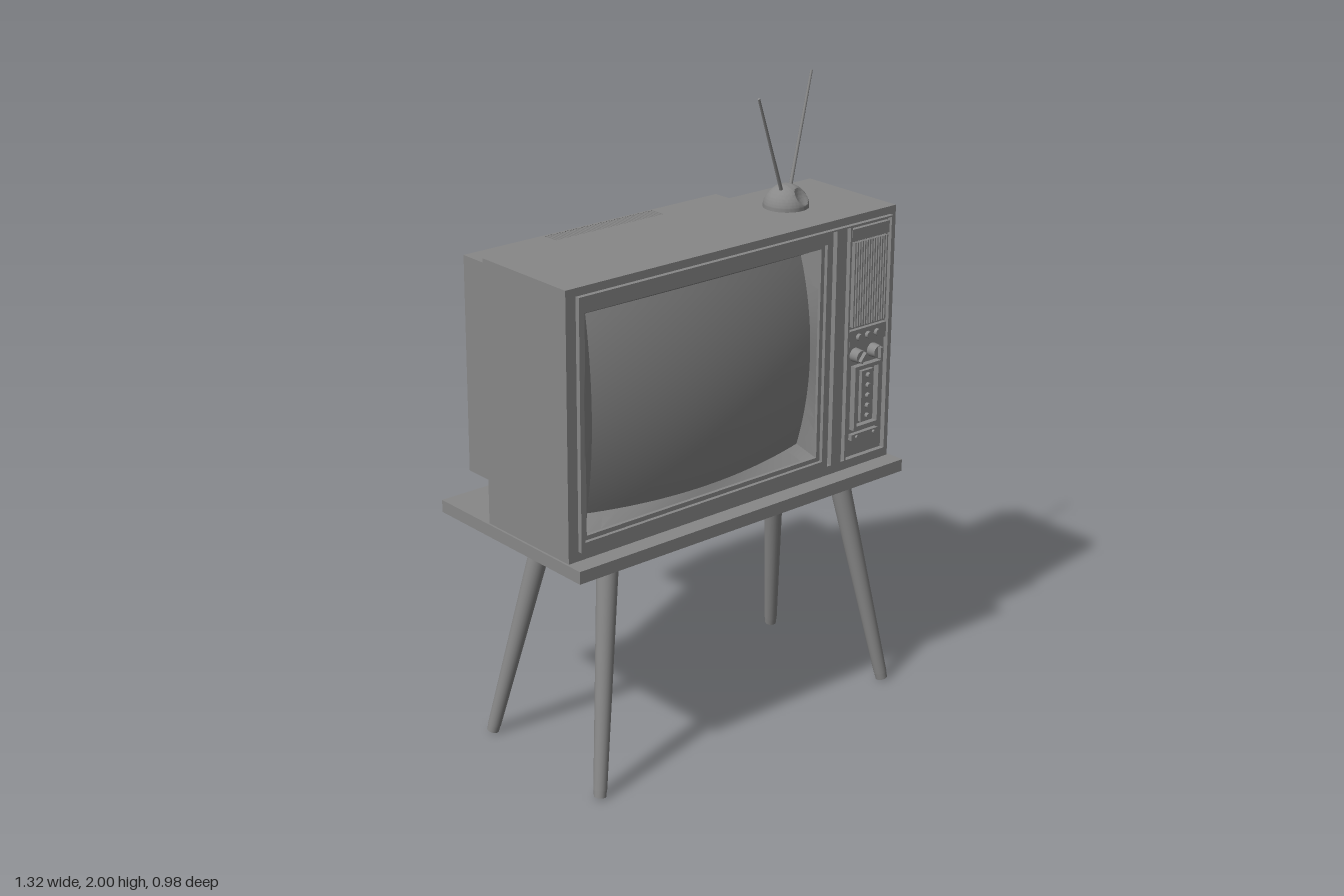
import * as THREE from 'three';
import { toCreasedNormals } from 'three/addons/utils/BufferGeometryUtils.js';

const grey = new THREE.MeshStandardMaterial({ color: 0x888888 });
const greyDouble = new THREE.MeshStandardMaterial({ color: 0x888888, side: THREE.DoubleSide });

export function createModel() {
  const model = new THREE.Group();

  function add(name, geometry, material = grey) {
    const mesh = new THREE.Mesh(geometry, material);
    mesh.name = name;
    model.add(mesh);
    return mesh;
  }

  // Box given by its extents
  function box(name, x0, x1, y0, y1, z0, z1) {
    const mesh = add(name, new THREE.BoxGeometry(x1 - x0, y1 - y0, z1 - z0));
    mesh.position.set((x0 + x1) / 2, (y0 + y1) / 2, (z0 + z1) / 2);
    return mesh;
  }

  // Tapered round bar between two points
  function bar(name, from, to, r0, r1, sides = 20) {
    const a = new THREE.Vector3(...from), b = new THREE.Vector3(...to);
    const dir = b.clone().sub(a);
    const mesh = add(name, new THREE.CylinderGeometry(r1, r0, dir.length(), sides));
    mesh.position.copy(a).add(b).multiplyScalar(0.5);
    mesh.quaternion.setFromUnitVectors(new THREE.Vector3(0, 1, 0), dir.normalize());
    return mesh;
  }

  const poly = (pts, Type = THREE.Shape) => new Type(pts.map(p => new THREE.Vector2(...p)));
  const rect = (x0, x1, y0, y1, Type) => poly([[x0, y0], [x1, y0], [x1, y1], [x0, y1]], Type);

  function plate(name, shape, holes, depth, z = 0) {
    shape.holes = holes;
    const mesh = add(name, new THREE.ExtrudeGeometry(shape, { depth, bevelEnabled: false }));
    mesh.position.z = z;
    return mesh;
  }

  // Stand: table top and four splayed legs with feet
  box('tableTop', -0.658, 0.658, 0.725, 0.765, -0.215, 0.465);
  for (const side of [-1, 1]) {
    for (const [zTop, zFoot] of [[0.36, 0.468], [0.066, -0.07]]) {
      const at = t => [side * (0.596 - 0.124 * t) + 0.003, 0.004 + 0.726 * t, zFoot + (zTop - zFoot) * t];
      bar('leg', at(0.03), at(1), 0.021, 0.034);
      bar('foot', at(0), at(0.03), 0.019, 0.02);
    }
  }

  // Cabinet with an open front; the bezel has openings for screen, divider and controls
  box('cabinet', -0.651, 0.649, 0.765, 1.6, 0.02, 0.34);
  plate('cabinetFrontFrame', rect(-0.651, 0.649, 0.765, 1.6),
    [rect(-0.615, 0.625, 0.795, 1.575, THREE.Path)], 0.065, 0.34);
  plate('bezel', rect(-0.615, 0.625, 0.795, 1.575), [
    rect(-0.6, 0.345, 0.825, 1.535, THREE.Path),
    rect(0.368, 0.442, 0.803, 1.57, THREE.Path),
    rect(0.449, 0.618, 0.803, 1.57, THREE.Path)
  ], 0.08, 0.34);
  box('dividerStrip', 0.385, 0.427, 0.8, 1.572, 0.34, 0.42);

  // Bulging picture tube: barrel outline over (u, v) in -1..1
  const screenPoint = (u, v) => [
    -0.118 + 0.43 * u * (1 - 0.025 * v * v),
    1.185 + 0.325 * v * (1 - 0.05 * u * u),
    0.429 - 0.04 * (u * u + v * v)
  ];
  const screen = new THREE.PlaneGeometry(2, 2, 32, 24);
  const sp = screen.attributes.position;
  for (let i = 0; i < sp.count; i++) sp.setXYZ(i, ...screenPoint(sp.getX(i), sp.getY(i)));
  screen.computeVertexNormals();
  add('screen', screen);

  // Sloped surround from the rectangular bezel opening to the screen edge
  const rimRect = (u, v, inset, z) =>
    [-0.1275 + (0.4725 - inset) * u, 1.18 + (0.355 - inset) * v, z];
  const verts = [], index = [], n = 16, total = 4 * n;
  for (let i = 0; i < total; i++) {
    const s = Math.floor(i / n), t = -1 + 2 * (i % n) / n;
    const [u, v] = [[t, -1], [1, t], [-t, 1], [-1, -t]][s];
    verts.push(...rimRect(u, v, 0, 0.408), ...rimRect(u, v, 0.014, 0.408),
      ...rimRect(u, v, 0.016, 0.4), ...screenPoint(u, v));
    const j = (i + 1) % total;
    for (let k = 0; k < 3; k++) {
      const a = i * 4 + k, b = j * 4 + k;
      index.push(a, b, b + 1, a, b + 1, a + 1);
    }
  }
  const surround = new THREE.BufferGeometry();
  surround.setAttribute('position', new THREE.Float32BufferAttribute(verts, 3));
  surround.setIndex(index);
  add('screenSurround', toCreasedNormals(surround, 0.4), greyDouble);

  // Control panel
  box('controlPanel', 0.449, 0.618, 0.803, 1.57, 0.34, 0.403);
  box('speakerTopBlock', 0.453, 0.612, 1.522, 1.56, 0.4, 0.417);
  for (let i = 0; i < 14; i++) {
    const x = 0.466 + i * 0.0105;
    box('speakerSlat', x, x + 0.005, 1.24, 1.515, 0.4, 0.417);
  }
  box('buttonStrip', 0.453, 0.612, 1.18, 1.23, 0.4, 0.417);
  const knob = (name, x, y, r, z0, z1) => bar(name, [x, y, z0], [x, y, z1], r, r * 0.9, 24);
  for (const x of [0.492, 0.531, 0.57]) knob('smallKnob', x, 1.205, 0.012, 0.41, 0.428);
  for (const x of [0.492, 0.568]) {
    knob('dial', x, 1.143, 0.023, 0.4, 0.434);
    box('dialGrip', x - 0.005, x + 0.005, 1.125, 1.161, 0.43, 0.447).rotation.z = x < 0.5 ? -0.7 : 0;
  }
  plate('tuningFrame', rect(0.478, 0.59, 0.895, 1.108),
    [rect(0.489, 0.579, 0.907, 1.096, THREE.Path)], 0.023, 0.4);
  box('tuningPanel', 0.515, 0.565, 0.915, 1.085, 0.4, 0.415);
  for (let i = 0; i < 5; i++) knob('tuningButton', 0.54, 1.068 - i * 0.034, 0.009, 0.41, 0.426);
  box('lowerBar', 0.475, 0.59, 0.86, 0.88, 0.4, 0.418);
  for (const x of [0.495, 0.57]) knob('lowerButton', x, 0.87, 0.006, 0.415, 0.425);

  // Back cover: plate, housing, taper and tube neck
  box('backPlate', -0.604, 0.629, 0.81, 1.575, -0.012, 0.02);
  box('rearHousing', -0.565, 0.438, 0.845, 1.526, -0.195, -0.012);
  const taper = new THREE.BoxGeometry(1, 1, 1);
  const tp = taper.attributes.position;
  for (let i = 0; i < tp.count; i++) {
    const rear = tp.getZ(i) < 0, right = tp.getX(i) > 0, up = tp.getY(i) > 0;
    tp.setXYZ(i,
      rear ? (right ? 0.195 : -0.294) : (right ? 0.438 : -0.565),
      rear ? (up ? 1.345 : 1.035) : (up ? 1.54 : 0.845),
      rear ? -0.352 : -0.195);
  }
  // The upper face is left out: the slotted plate takes its place
  const faces = Array.from(taper.index.array);
  faces.splice(12, 6);
  taper.setIndex(faces);
  taper.computeVertexNormals();
  add('rearTaper', taper);
  box('tubeNeck', -0.294, 0.195, 1.035, 1.345, -0.49, -0.35);

  // Slotted vents on top of the housing and on the slope
  const slots = (y0, y1) => Array.from({ length: 40 }, (_, i) => {
    const x = -0.265 + i * 0.0108;
    return rect(x, x + 0.006, y0, y1, THREE.Path);
  });
  const topVent = plate('topVent', rect(-0.565, 0.438, 0.012, 0.195), slots(0.022, 0.188), 0.014);
  topVent.rotation.x = -Math.PI / 2;
  topVent.position.y = 1.526;
  const run = 0.157, drop = 0.195, length = Math.hypot(run, drop);
  const slopeVent = plate('slopeVent',
    poly([[-0.294, -length], [0.195, -length], [0.438, 0], [-0.565, 0]]),
    slots(-0.243, -0.088), 0.014);
  const ventFloor = new THREE.Mesh(new THREE.BoxGeometry(0.45, 0.18, 0.004), grey);
  ventFloor.name = 'ventFloor';
  ventFloor.position.set(-0.05, -0.16, 0.015);
  slopeVent.add(ventFloor);
  slopeVent.position.set(0, 1.54, -0.195);
  slopeVent.rotation.x = Math.atan2(run, drop);

  // Aerial terminals on the back plate
  for (const y of [1.145, 1.175, 1.205]) box('aerialTerminal', 0.498, 0.512, y - 0.007, y + 0.007, -0.055, -0.01);

  // Indoor aerial: half-sunk ball with two round dimples, and two rods
  const ball = new THREE.SphereGeometry(0.072, 72, 48);
  const bp = ball.attributes.position, p = new THREE.Vector3();
  const dimples = [-1, 1].map(s => new THREE.Vector3(0.018 * s, 0.038, 0.05 * s).normalize());
  for (let i = 0; i < bp.count; i++) {
    p.fromBufferAttribute(bp, i);
    for (const d of dimples) p.addScaledVector(d, -2 * Math.max(0, p.dot(d) - 0.065));
    bp.setXYZ(i, p.x, p.y, p.z);
  }
  add('aerialBall', toCreasedNormals(ball, 0.5)).position.set(0.378, 1.6, 0.197);
  bar('aerialRod', [0.353, 1.645, 0.206], [0.196, 1.98, 0.264], 0.006, 0.004, 10);
  bar('aerialRod', [0.4, 1.645, 0.189], [0.52, 1.998, 0.149], 0.006, 0.004, 10);
  return model;
}
